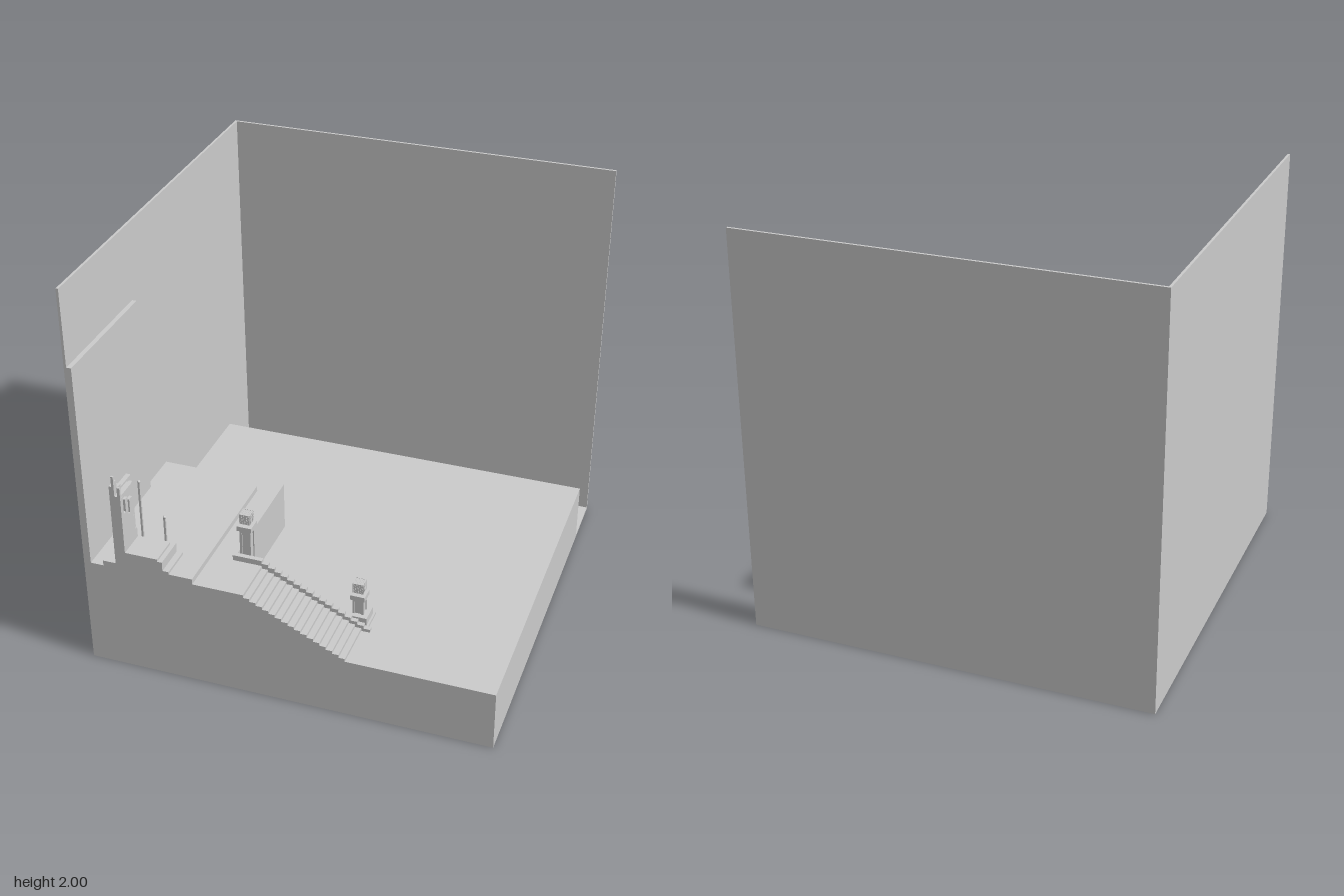
import * as THREE from 'three';

const grey = new THREE.MeshStandardMaterial({ color: 0xcccccc, flatShading: true });

// Box given by its limits on each axis
function box(parent, name, x0, x1, y0, y1, z0, z1) {
  const mesh = new THREE.Mesh(new THREE.BoxGeometry(x1 - x0, y1 - y0, z1 - z0), grey);
  mesh.position.set((x0 + x1) / 2, (y0 + y1) / 2, (z0 + z1) / 2);
  mesh.name = name;
  parent.add(mesh);
  return mesh;
}

// Outline in x and y, extruded from z0 to z1
function slab(parent, name, points, z0, z1) {
  const shape = new THREE.Shape(points.map(([x, y]) => new THREE.Vector2(x, y)));
  const geometry = new THREE.ExtrudeGeometry(shape, { depth: z1 - z0, bevelEnabled: false });
  geometry.translate(0, 0, z0);
  const mesh = new THREE.Mesh(geometry, grey);
  mesh.name = name;
  parent.add(mesh);
}

// Outline in z and y, extruded from x0 to x1
function sidePanel(parent, name, points, x0, x1) {
  const shape = new THREE.Shape(points.map(([z, y]) => new THREE.Vector2(-z, y)));
  const geometry = new THREE.ExtrudeGeometry(shape, { depth: x1 - x0, bevelEnabled: false });
  geometry.rotateY(Math.PI / 2).translate(x0, 0, 0);
  const mesh = new THREE.Mesh(geometry, grey);
  mesh.name = name;
  parent.add(mesh);
}

// Descending stair outline
function stairOutline(xStart, xTop, xEnd, yTop, yBottom, steps) {
  const points = [[xStart, yBottom], [xStart, yTop]];
  const run = (xEnd - xTop) / (steps - 1), rise = (yTop - yBottom) / steps;
  for (let i = 0; i < steps; i++) {
    const x = xTop + i * run, y = yTop - i * rise;
    points.push([x, y], [x, y - rise]);
  }
  return points;
}

// Cube lamp with a fine grille on every face
function lantern(parent, x, y, z, size) {
  const g = new THREE.Group();
  g.name = 'lantern';
  const h = size / 2, core = h * 0.94, bar = size * 0.025;
  box(g, 'lanternCore', -core, core, -core, core, -core, core);
  for (let i = 0; i <= 6; i++) {
    const p = -h + bar + (i / 6) * (size - 2 * bar);
    for (const s of [-1, 1]) {
      const q = s * (h - bar);
      box(g, 'grilleBar', p - bar, p + bar, -h, h, q - bar, q + bar);
      box(g, 'grilleBar', q - bar, q + bar, -h, h, p - bar, p + bar);
      box(g, 'grilleBar', -h, h, p - bar, p + bar, q - bar, q + bar);
      box(g, 'grilleBar', q - bar, q + bar, p - bar, p + bar, -h, h);
      box(g, 'grilleBar', p - bar, p + bar, q - bar, q + bar, -h, h);
    }
  }
  g.position.set(x, y, z);
  parent.add(g);
}

// Pillar with plinth, framed shaft, cap and lantern
function lampPillar(parent, x, z, top, plinth) {
  const g = new THREE.Group();
  g.name = 'lampPillar';
  const block = (name, w, y0, y1) => box(g, name, x - w, x + w, y0, y1, z - w, z + w);
  if (plinth) block('plinth', 0.06, 0.31, 0.322);
  block('pillarBase', 0.05, 0.31, 0.36);
  block('pillarShaft', 0.022, 0.36, top - 0.025);
  for (const sx of [-1, 1]) for (const sz of [-1, 1]) {
    const cx = x + sx * 0.0215, cz = z + sz * 0.0215;
    box(g, 'cornerStrip', cx - 0.006, cx + 0.006, 0.36, top - 0.025, cz - 0.006, cz + 0.006);
  }
  block('shaftHead', 0.0275, top - 0.038, top - 0.025);
  block('pillarCap', 0.0365, top - 0.025, top);
  block('lanternNeck', 0.008, top, top + 0.012);
  lantern(g, x, top + 0.037, z, 0.052);
  parent.add(g);
}

export function createModel() {
  const model = new THREE.Group();
  model.name = 'throneHall';

  // Floor, two walls and the stepped platforms
  box(model, 'floor', -1, 1, 0, 0.013, -1, 1);
  box(model, 'leftWall', -1, -0.988, 0, 2, -1, 1);
  box(model, 'backWall', -1, 1, 0, 2, -1, -0.988);
  box(model, 'mainPlatform', -0.988, 1, 0.013, 0.31, -0.72, 1);
  box(model, 'upperPlatform', -0.988, -0.345, 0.31, 0.567, 0.1, 1);
  box(model, 'dais', -0.9, -0.45, 0.567, 0.595, 0.195, 1);
  box(model, 'wallPanel', -0.988, -0.965, 0.567, 1.615, 0.335, 1);

  // Staircase and its stepped side curb
  slab(model, 'stairs', stairOutline(-0.345, -0.2, 0.29, 0.567, 0.31, 17), 0.762, 1);
  slab(model, 'stairCurb', stairOutline(-0.345, -0.2, 0.332, 0.595, 0.31, 18), 0.742, 0.766);

  lampPillar(model, -0.3, 0.69, 0.735, false);
  lampPillar(model, 0.255, 0.685, 0.468, true);

  // Throne, cut through its middle at the front edge
  const throne = new THREE.Group();
  throne.name = 'throne';
  box(throne, 'footStep', -0.835, -0.567, 0.595, 0.608, 0.835, 1);
  box(throne, 'seatBlock', -0.835, -0.597, 0.608, 0.655, 0.838, 1);
  box(throne, 'seat', -0.82, -0.62, 0.655, 0.667, 0.855, 1);
  sidePanel(throne, 'throneBack', [
    [1, 0.595], [0.825, 0.595], [0.825, 0.985], [0.93, 0.985], [0.93, 1.0],
    [0.965, 1.0], [0.965, 1.025], [1, 1.025]], -0.835, -0.812);
  sidePanel(throne, 'backCrest', [
    [1, 0.96], [0.96, 0.96], [0.96, 1.01], [0.975, 1.01], [0.975, 1.05],
    [0.99, 1.05], [0.99, 1.08], [1, 1.08]], -0.822, -0.81);
  sidePanel(throne, 'backFrame', [
    [1, 0.667], [0.86, 0.667], [0.86, 0.72], [0.875, 0.72], [0.875, 0.8],
    [0.885, 0.8], [0.885, 0.91], [0.915, 0.91], [0.915, 0.84], [0.93, 0.84],
    [0.93, 0.935], [0.955, 0.935], [0.955, 0.87], [0.975, 0.87],
    [0.975, 0.965], [0.99, 0.965], [0.99, 1.025], [1, 1.025]], -0.796, -0.782);
  box(throne, 'backCore', -0.812, -0.796, 0.667, 0.965, 0.845, 1);
  box(throne, 'topRail', -0.812, -0.785, 0.96, 0.975, 0.87, 1);

  // Slim posts with small dark-looking heads
  for (const [x, z, top] of [[-0.765, 0.84, 0.97], [-0.652, 0.83, 0.79]]) {
    box(throne, 'armPost', x - 0.005, x + 0.005, 0.595, top - 0.01, z - 0.005, z + 0.005);
    const head = new THREE.Mesh(new THREE.SphereGeometry(0.008, 10, 8), grey);
    head.name = 'postHead';
    head.position.set(x, top - 0.006, z);
    throne.add(head);
  }
  model.add(throne);

  return model;
}
